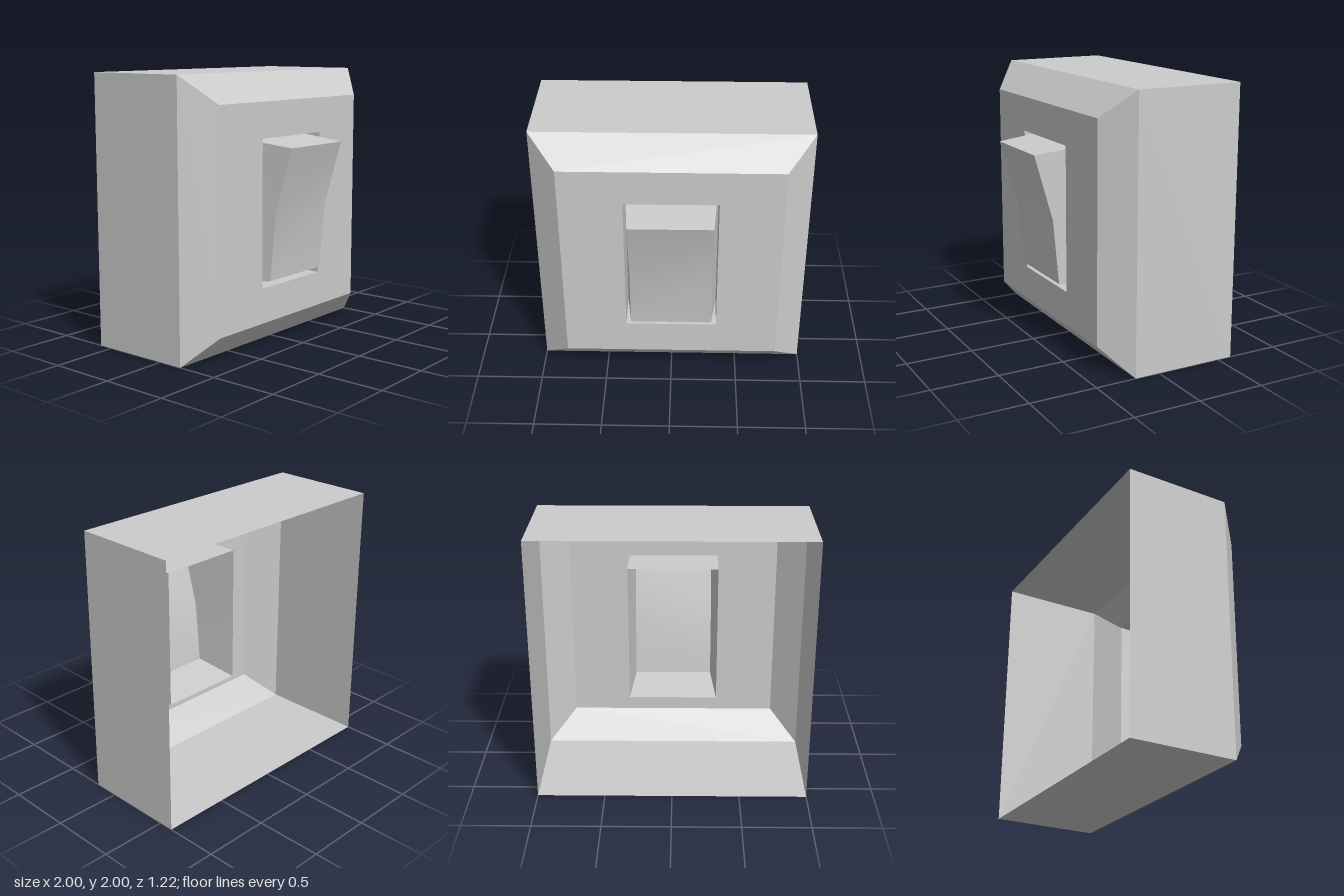
import * as THREE from 'three';
import { toCreasedNormals } from 'three/addons/utils/BufferGeometryUtils.js';

const material = new THREE.MeshStandardMaterial({ color: 0xcccccc, side: THREE.DoubleSide });

// Rectangular ring, anticlockwise seen from the front
const rect = (halfWidth, bottom, top, z) => [
  [-halfWidth, bottom, z], [halfWidth, bottom, z], [halfWidth, top, z], [-halfWidth, top, z],
];

// Quads joining consecutive rings of equal length
function loft(rings) {
  const quads = [];
  for (let r = 0; r < rings.length - 1; r++) {
    const a = rings[r], b = rings[r + 1];
    a.forEach((p, i) => {
      const j = (i + 1) % a.length;
      quads.push([p, a[j], b[j], b[i]]);
    });
  }
  return quads;
}

function quadMesh(name, quads) {
  const positions = quads.flatMap(([a, b, c, d]) => [a, b, c, a, c, d]).flat();
  const geometry = new THREE.BufferGeometry();
  geometry.setAttribute('position', new THREE.Float32BufferAttribute(positions, 3));
  const mesh = new THREE.Mesh(toCreasedNormals(geometry, 0.45), material);
  mesh.name = name;
  return mesh;
}

export function createModel() {
  const group = new THREE.Group();
  group.name = 'rockerSwitch';

  // Open-backed housing: side walls, bevel, face plate and recessed sleeve
  group.add(quadMesh('housing', loft([
    rect(1, 0, 2, -0.61),
    rect(1, 0, 2, 0.19),
    rect(0.8, 0.2, 1.8, 0.385),
    rect(0.34, 0.46, 1.54, 0.385),
    rect(0.34, 0.46, 1.54, 0.09),
  ])));

  // Hollow rocker button, bent at mid height and tilted out at the top
  const base = [
    [-0.34, 0.46, 0.09], [0.34, 0.46, 0.09], [0.34, 1, 0.09],
    [0.34, 1.54, 0.09], [-0.34, 1.54, 0.09], [-0.34, 1, 0.09],
  ];
  const front = [
    [-0.3, 0.515, 0.425], [0.3, 0.515, 0.425], [0.3, 1, 0.47],
    [0.3, 1.485, 0.61], [-0.3, 1.485, 0.61], [-0.3, 1, 0.47],
  ];
  group.add(quadMesh('rockerButton', [
    ...loft([base, front]),
    [front[0], front[1], front[2], front[5]],
    [front[5], front[2], front[3], front[4]],
  ]));

  return group;
}
